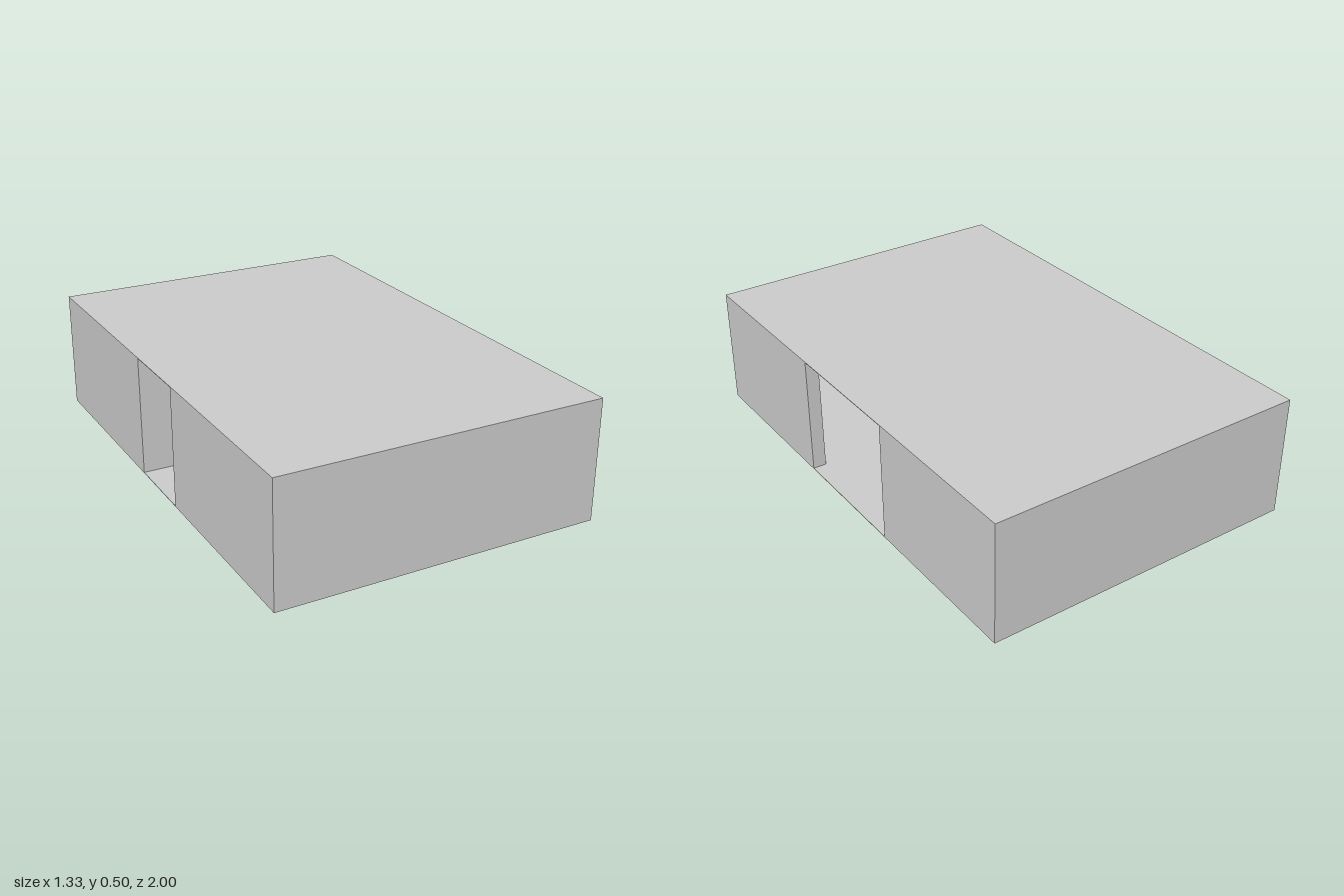
import * as THREE from 'three';

const W = 0.667, D = 1, H = 0.5; // half width, half depth, height
const T = 0.056;                 // wall thickness
const S = 0.003;                 // floor and roof thickness

export function createModel() {
  const model = new THREE.Group();
  const material = new THREE.MeshStandardMaterial({ color: 0xcccccc, side: THREE.DoubleSide });

  // Box given by its plan extents and its height range
  function block(name, x0, x1, z0, z1, y0 = S, y1 = H - S) {
    const mesh = new THREE.Mesh(new THREE.BoxGeometry(x1 - x0, y1 - y0, z1 - z0), material);
    mesh.position.set((x0 + x1) / 2, (y0 + y1) / 2, (z0 + z1) / 2);
    mesh.name = name;
    model.add(mesh);
  }

  // Floor and roof
  block('floor', -W, W, -D, D, 0, S);
  block('roof', -W, W, -D, D, H - S, H);

  // Closed end walls
  block('frontWall', -W, W, D - T, D);
  block('backWall', -W, W, -D, -D + T);

  // Long outer walls, each with a full-height entrance in the middle
  const sides = [
    { name: 'leftWall', x: W - T, gap: 0.28 },
    { name: 'rightWall', x: -W, gap: 0.162 },
  ];
  for (const { name, x, gap } of sides) {
    block(name + 'Front', x, x + T, gap, D - T);
    block(name + 'Back', x, x + T, -D + T, -gap);
  }

  // Partition along the hall, with a doorway to the back room
  const hallX = 0.223;
  block('hallPartition', hallX - T, hallX, -0.445, D - T);
  block('hallPartitionEnd', hallX - T, hallX, -D + T, -0.67);

  // Passage walls from the narrow entrance; the front one has a doorway
  const passage = 0.162;
  block('passageWallBack', -W + T, hallX - T, -passage - T, -passage);
  block('passageWallFrontStub', -W + T, -0.45, passage, passage + T);
  block('passageWallFront', -0.225, hallX - T, passage, passage + T);

  return model;
}
